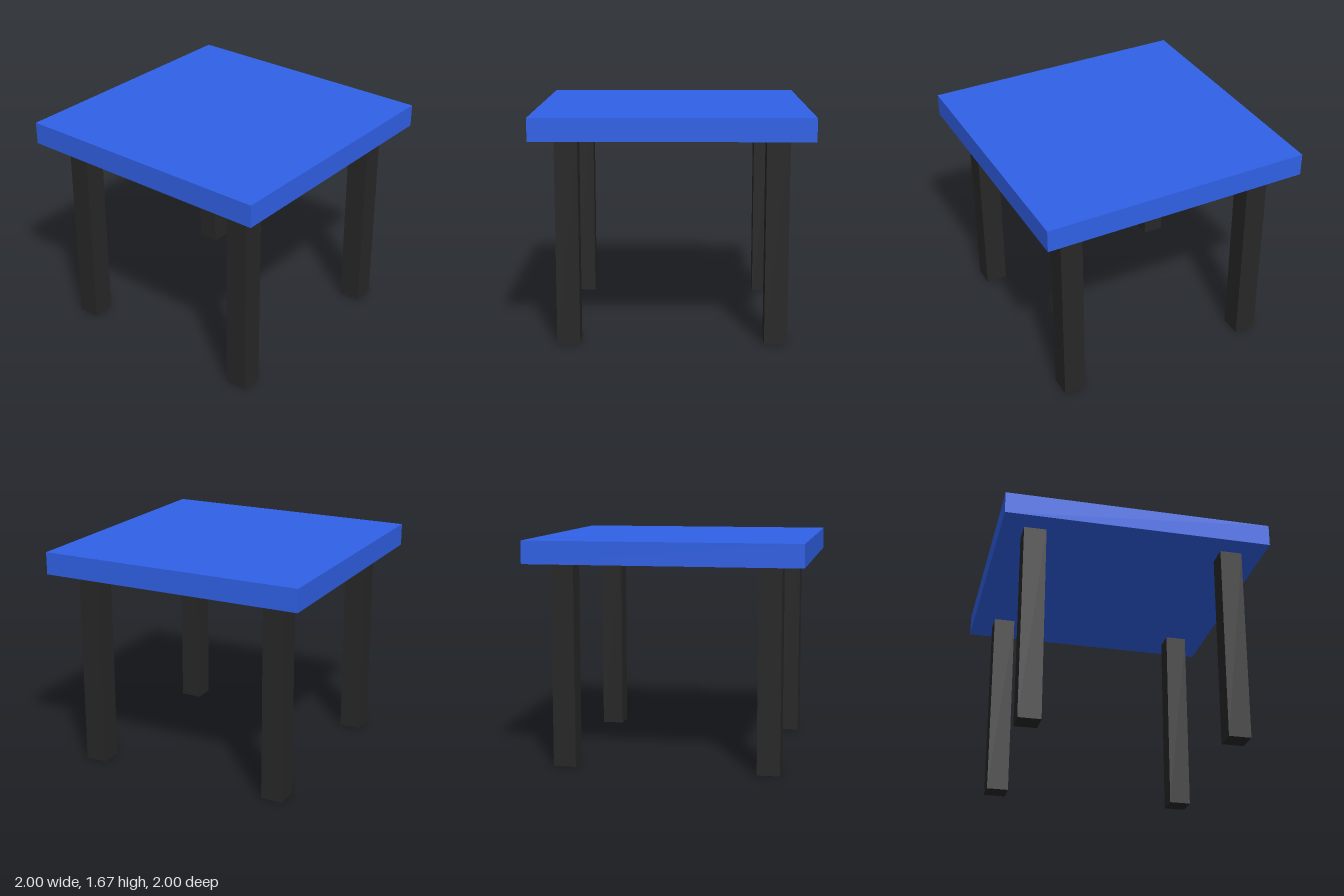
import * as THREE from 'three';

const LEG_HEIGHT = 1.5;
const LEG_WIDTH = 1 / 6;
const LEG_OFFSET = 0.75;
const TOP_THICKNESS = 1 / 6;

export function createModel() {
  const table = new THREE.Group();
  table.name = 'table';

  const blue = new THREE.MeshStandardMaterial({ color: 0x3061e6 });
  blue.name = 'blue';
  const charcoal = new THREE.MeshStandardMaterial({ color: 0x272727 });
  charcoal.name = 'charcoal';

  // Square slab top
  const top = new THREE.Mesh(new THREE.BoxGeometry(2, TOP_THICKNESS, 2), blue);
  top.name = 'tableTop';
  top.position.y = LEG_HEIGHT + TOP_THICKNESS / 2;
  table.add(top);

  // Four square legs, set in from the corners
  const legGeometry = new THREE.BoxGeometry(LEG_WIDTH, LEG_HEIGHT, LEG_WIDTH);
  for (const [zSide, depth] of [[1, 'front'], [-1, 'back']]) {
    for (const [xSide, side] of [[1, 'Left'], [-1, 'Right']]) {
      const leg = new THREE.Mesh(legGeometry, charcoal);
      leg.name = `${depth}${side}Leg`;
      leg.position.set(xSide * LEG_OFFSET, LEG_HEIGHT / 2, zSide * LEG_OFFSET);
      table.add(leg);
    }
  }

  return table;
}
